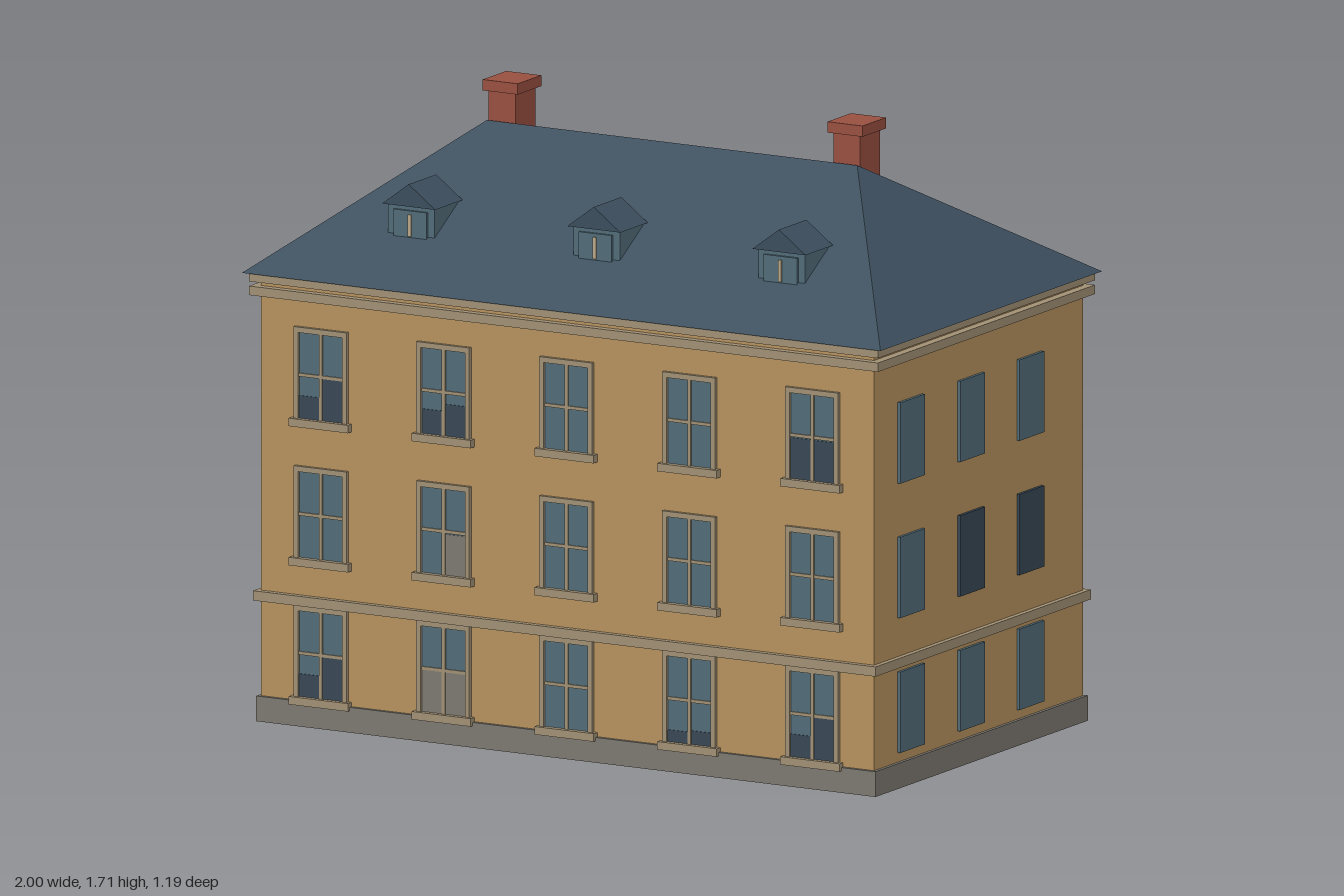
import * as THREE from 'three';

const material = (name, color) => Object.assign(new THREE.MeshStandardMaterial({ color }), { name });

export function createModel() {
  const house = new THREE.Group();
  house.name = 'house';
  const wall = material('ochre wall', 0xb8935f);
  const trim = material('stone trim', 0xa39275);
  const stone = material('grey plinth', 0x7d7972);
  const slate = material('slate roof', 0x3c4e5d);
  const glass = material('window glass', 0x526d7a);
  const shade = material('dark glass', 0x384856);
  const brick = material('brick', 0x9a5040);
  const cream = material('cream bar', 0xbba98a);

  // Box given by its extents along each axis
  const box = (parent, name, mat, [x0, x1], [y0, y1], [z0, z1]) => {
    const mesh = new THREE.Mesh(new THREE.BoxGeometry(x1 - x0, y1 - y0, z1 - z0), mat);
    mesh.position.set((x0 + x1) / 2, (y0 + y1) / 2, (z0 + z1) / 2);
    mesh.name = name;
    parent.add(mesh);
    return mesh;
  };
  const slab = (name, mat, hx, y, hz) => box(house, name, mat, [-hx, hx], y, [-hz, hz]);

  // Main block with its horizontal courses
  slab('plinth', stone, 0.97, [0, 0.07], 0.57);
  slab('walls', wall, 0.96, [0.01, 1.235], 0.56);
  slab('stringCourse', trim, 0.975, [0.335, 0.362], 0.578);
  slab('lowerCornice', trim, 0.985, [1.18, 1.205], 0.583);
  slab('upperCornice', trim, 0.985, [1.218, 1.242], 0.583);

  // Hipped roof: four eave corners and two ridge ends
  const corners = [
    [-1, 1.242, 0.595], [1, 1.242, 0.595], [1, 1.242, -0.595], [-1, 1.242, -0.595],
    [-0.58, 1.6, 0], [0.58, 1.6, 0],
  ];
  const faces = [0, 1, 5, 0, 5, 4, 1, 2, 5, 2, 3, 4, 2, 4, 5, 3, 0, 4, 0, 3, 2, 0, 2, 1];
  const roofGeometry = new THREE.BufferGeometry();
  roofGeometry.setAttribute('position',
    new THREE.Float32BufferAttribute(faces.flatMap((i) => corners[i]), 3));
  roofGeometry.computeVertexNormals();
  const roof = new THREE.Mesh(roofGeometry, slate);
  roof.name = 'hippedRoof';
  house.add(roof);

  // Chimneys just behind the ridge
  for (const x of [-0.54, 0.54]) {
    const chimney = new THREE.Group();
    chimney.name = 'chimney';
    chimney.position.x = x;
    box(chimney, 'chimneyStack', brick, [-0.042, 0.042], [1.48, 1.685], [-0.12, -0.013]);
    box(chimney, 'chimneyCap', brick, [-0.055, 0.055], [1.68, 1.71], [-0.13, -0.003]);
    house.add(chimney);
  }

  // Dormers on the front slope
  const gable = new THREE.Shape([[-0.083, 1.438], [0.083, 1.438], [0, 1.5]]
    .map(([x, y]) => new THREE.Vector2(x, y)));
  for (const x of [-0.58, 0, 0.58]) {
    const dormer = new THREE.Group();
    dormer.name = 'dormer';
    dormer.position.x = x;
    box(dormer, 'dormerBody', glass, [-0.073, 0.073], [1.3, 1.44], [0.28, 0.405]);
    box(dormer, 'dormerPane', glass, [-0.052, 0.052], [1.345, 1.425], [0.405, 0.413]);
    box(dormer, 'dormerBar', cream, [-0.005, 0.005], [1.355, 1.415], [0.411, 0.417]);
    const cap = new THREE.Mesh(
      new THREE.ExtrudeGeometry(gable, { depth: 0.148, bevelEnabled: false }), slate);
    cap.position.z = 0.272;
    cap.name = 'dormerRoof';
    dormer.add(cap);
    house.add(dormer);
  }

  // Front windows: surround, sill, glass and glazing bars
  const columns = [-0.77, -0.385, 0, 0.385, 0.77];
  const bases = [0.07, 0.455, 0.84];
  const frontWindow = (x, y) => {
    const group = new THREE.Group();
    group.name = 'frontWindow';
    group.position.set(x, y, 0);
    const front = [0.555, 0.571];
    box(group, 'pane', glass, [-0.07, 0.07], [0.01, 0.252], [0.556, 0.563]);
    for (const s of [-1, 1]) {
      box(group, 'jamb', trim, [s * 0.076 - 0.007, s * 0.076 + 0.007], [0, 0.265], front);
    }
    box(group, 'lintel', trim, [-0.083, 0.083], [0.25, 0.265], front);
    box(group, 'sill', trim, [-0.093, 0.093], [-0.01, 0.012], [0.555, 0.58]);
    box(group, 'uprightBar', trim, [-0.005, 0.005], [0.01, 0.252], [0.56, 0.568]);
    box(group, 'crossBar', trim, [-0.07, 0.07], [0.128, 0.137], [0.56, 0.567]);
    house.add(group);
    return group;
  };
  const windows = bases.map((y) => columns.map((x) => frontWindow(x, y)));

  // Dim lower panes: row, column, left height, right height, colour
  const dim = [
    [0, 0, 0.075, 0.128, shade], [0, 1, 0.128, 0.128, stone],
    [0, 3, 0.045, 0.05, shade], [0, 4, 0.075, 0.128, shade],
    [1, 1, 0, 0.125, stone],
    [2, 0, 0.075, 0.128, shade], [2, 1, 0.08, 0.1, shade], [2, 4, 0.125, 0.125, shade],
  ];
  for (const [row, col, left, right, mat] of dim) {
    const win = windows[row][col];
    if (left) box(win, 'dimPane', mat, [-0.069, -0.005], [0.012, left], [0.56, 0.565]);
    if (right) box(win, 'dimPane', mat, [0.005, 0.069], [0.012, right], [0.56, 0.565]);
  }

  // Plain side windows, a few of them dark
  const darkOnes = ['1,1,1', '1,1,2', '-1,2,1', '-1,0,2'];
  for (const s of [-1, 1]) {
    [0.097, 0.47, 0.842].forEach((y, row) => {
      [0.37, 0.048, -0.27].forEach((z, col) => {
        const mat = darkOnes.includes(`${s},${row},${col}`) ? shade : glass;
        box(house, 'sideWindow', mat, [s * 0.9655 - 0.0045, s * 0.9655 + 0.0045],
          [y, y + 0.224], [z - 0.066, z + 0.066]);
      });
    });
  }
  return house;
}
